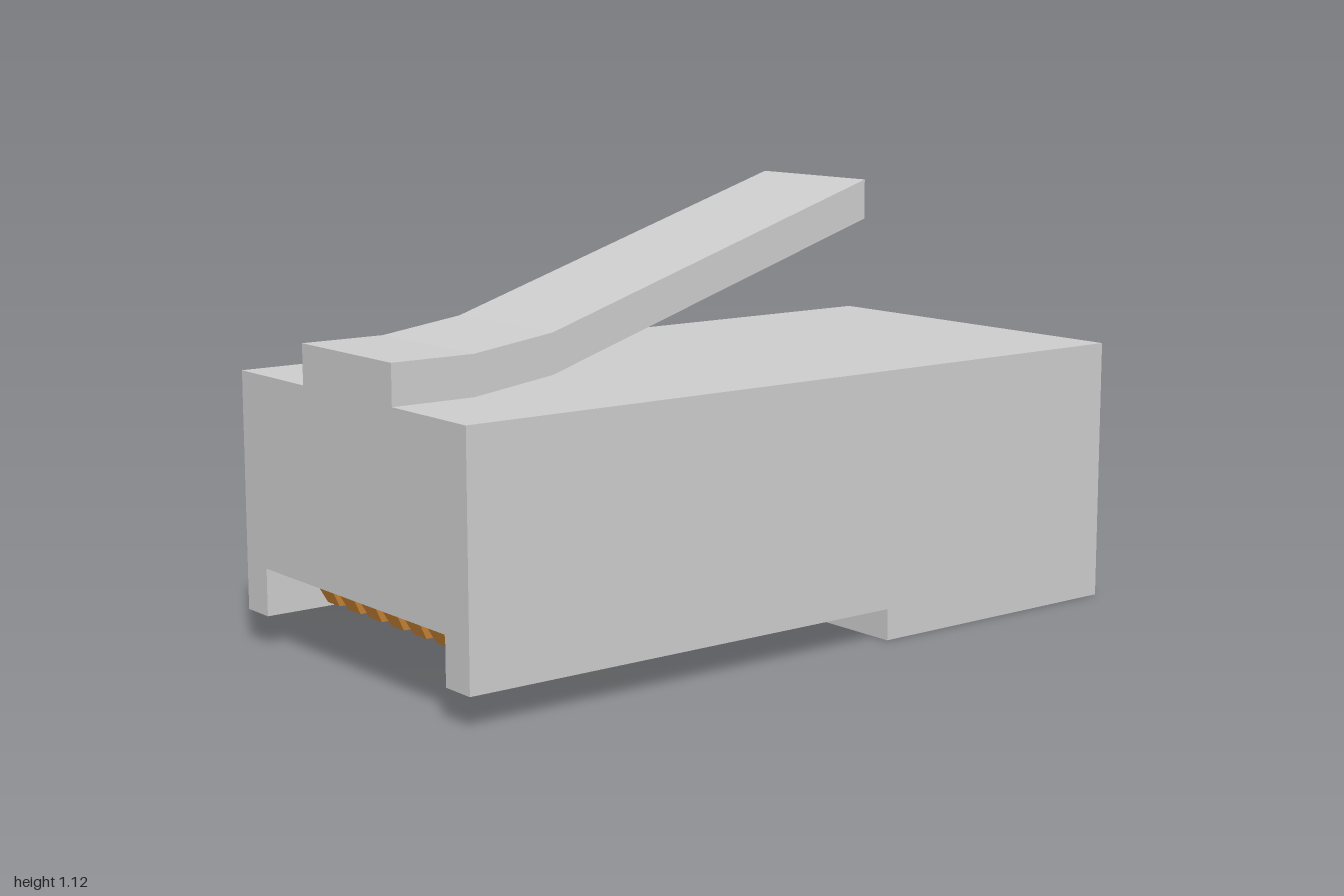
import * as THREE from 'three';

// Collects flat faces and turns them into one geometry.
class Faces {
  constructor() { this.p = []; }
  tri(a, b, c) { this.p.push(...a, ...b, ...c); }
  quad(a, b, c, d) { this.tri(a, b, c); this.tri(a, c, d); }

  // Sweep a path of [z, y] points across x.
  strip(path, x0, x1) {
    for (let i = 0; i + 1 < path.length; i++) {
      const [z0, y0] = path[i], [z1, y1] = path[i + 1];
      this.quad([x0, y0, z0], [x1, y0, z0], [x1, y1, z1], [x0, y1, z1]);
    }
  }

  // Fill a [z, y] outline at one x, facing +x or -x.
  cap(outline, x, facing) {
    const pts = outline.map(([z, y]) => new THREE.Vector2(z, y));
    for (const [i, j, k] of THREE.ShapeUtils.triangulateShape(pts, [])) {
      const [a, b, c] = [pts[i], pts[j], pts[k]];
      const area = (b.x - a.x) * (c.y - a.y) - (b.y - a.y) * (c.x - a.x);
      const [A, B, C] = [a, b, c].map((v) => [x, v.y, v.x]);
      if (area * facing < 0) this.tri(A, B, C);
      else this.tri(A, C, B);
    }
  }

  build() {
    const g = new THREE.BufferGeometry();
    g.setAttribute('position', new THREE.Float32BufferAttribute(this.p, 3));
    g.computeVertexNormals();
    return g;
  }
}

// Tapered block between two layers: [y, half width, front z, back z].
function taper(upper, lower) {
  const f = new Faces();
  const ring = ([y, w, zf, zb]) => [[w, y, zf], [w, y, zb], [-w, y, zb], [-w, y, zf]];
  const a = ring(upper), b = ring(lower);
  for (let i = 0; i < 4; i++) {
    const j = (i + 1) % 4;
    f.quad(a[i], b[i], b[j], a[j]);
  }
  f.quad(b[3], b[2], b[1], b[0]);
  return f.build();
}

export function createModel() {
  const model = new THREE.Group();
  const plastic = new THREE.MeshStandardMaterial({ color: 0xcccccc });
  plastic.name = 'light grey plastic';
  const copper = new THREE.MeshStandardMaterial({ color: 0xd08838 });
  copper.name = 'copper';

  const add = (name, geometry, material, x = 0) => {
    const mesh = new THREE.Mesh(geometry, material);
    mesh.name = name;
    mesh.position.x = x;
    model.add(mesh);
  };

  const W = 0.495, IN = 0.4, TOP = 0.68, STEP = 0.08, DEEP = 0.2;

  // Hollows in the underside, as [z, y] outlines
  const groove = [[-0.905, 0], [-0.617, 0.153], [-0.333, 0]];
  const pocket = [[-0.24, STEP], [-0.24, DEEP], [0.325, DEEP], [0.325, STEP]];
  const contactBay = [[0.41, STEP], [0.41, DEEP], [1, DEEP], [1, STEP]];

  // Housing: side rails, hollowed middle, outer sides and hollow walls
  const shell = [[1, TOP], [-1, TOP], [-1, 0]];
  const rail = [...shell, [-0.905, 0], [-0.333, 0], [-0.24, 0], [-0.24, STEP],
    [0.325, STEP], [0.41, STEP], [1, STEP], [1, DEEP], [1, TOP]];
  const middle = [...shell, ...groove, [-0.24, 0], ...pocket,
    ...contactBay.slice(0, 3), [1, TOP]];
  const housing = new Faces();
  housing.strip(middle, -IN, IN);
  housing.strip(rail, IN, W);
  housing.strip(rail, -W, -IN);
  for (const s of [-1, 1]) {
    housing.cap(rail.slice(0, -1), s * W, s);
    for (const hollow of [groove, pocket, contactBay]) housing.cap(hollow, s * IN, -s);
  }
  add('housing', housing.build(), plastic);

  // Bent release latch on top
  const latchSide = [[1, 0.68], [1, 0.78], [0.78, 0.78], [0.56, 0.81],
    [-0.42, 1.12], [-0.42, 1.02], [0.56, 0.71], [0.78, 0.68]];
  const latch = new Faces();
  latch.strip([...latchSide, latchSide[0]], -0.197, 0.197);
  latch.cap(latchSide, 0.197, 1);
  latch.cap(latchSide, -0.197, -1);
  add('latch', latch.build(), plastic);

  // Eight contacts, each a plastic ridge with a copper bar under it
  const root = [DEEP, 0.05, 0.98, 0.42];
  const joint = [0.153, 0.037, 0.875, 0.45];
  const tip = [0.097, 0.028, 0.845, 0.475];
  const ridge = taper(root, joint), bar = taper(joint, tip);
  for (let i = 0; i < 8; i++) {
    const x = (i - 3.5) * 0.099;
    add('contactRidge', ridge, plastic, x);
    add('contact', bar, copper, x);
  }
  return model;
}
